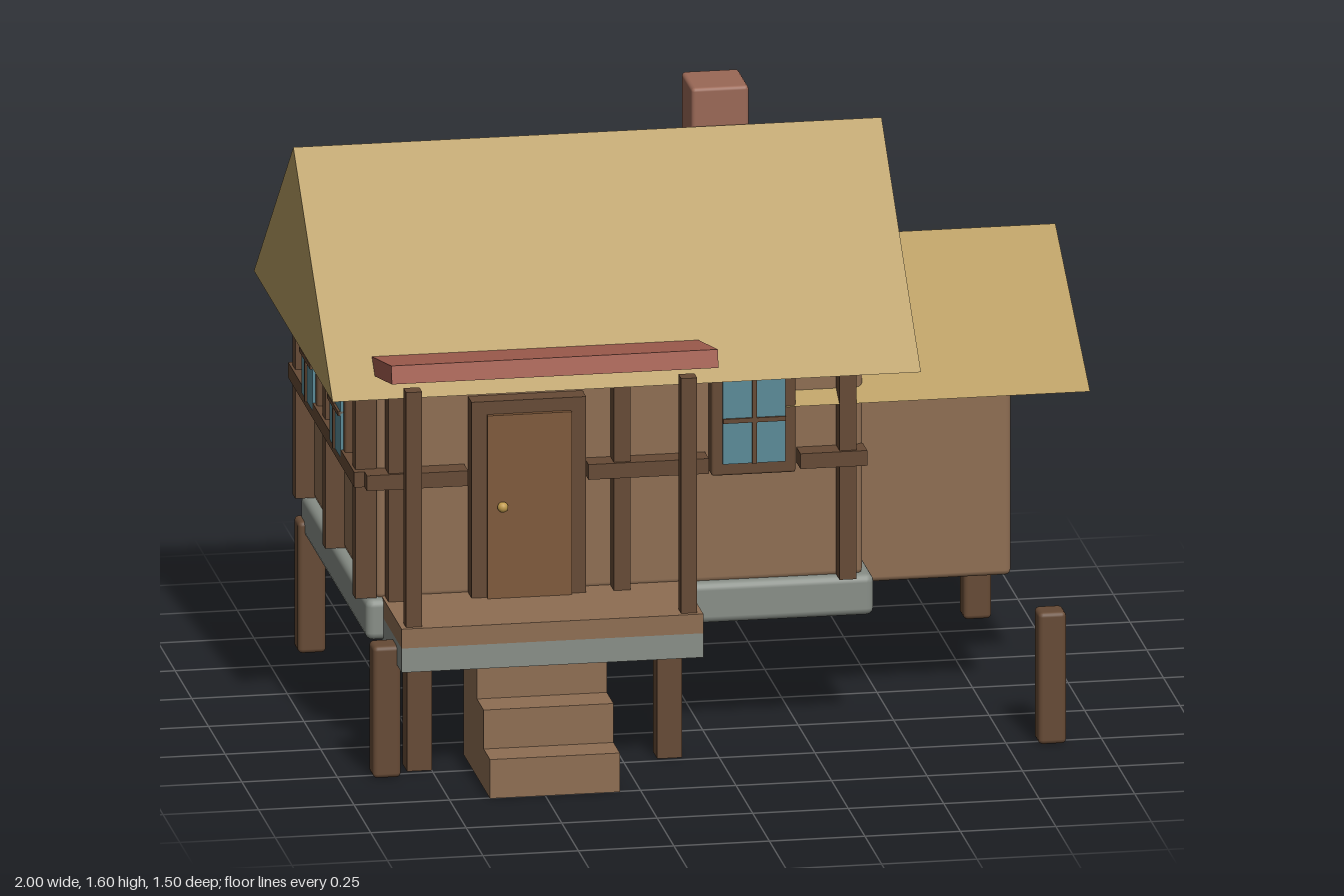
import * as THREE from 'three';
import { RoundedBoxGeometry } from 'three/addons/geometries/RoundedBoxGeometry.js';

const mat = (color) => new THREE.MeshStandardMaterial({ color });
const M = {
  thatch: mat(0xb89d63), wall: mat(0x8e6e53), beam: mat(0x664a35), stone: mat(0x888e87),
  brick: mat(0x9a6856), tile: mat(0xa55f50), glass: mat(0x5b8b98), door: mat(0x7f5a3b), brass: mat(0xc09a4c),
};

export function createModel() {
  const model = new THREE.Group();

  const add = (parent, name, geometry, material) => {
    const mesh = new THREE.Mesh(geometry, material);
    mesh.name = name;
    parent.add(mesh);
    return mesh;
  };
  // Box given by its extents on each axis; r rounds the edges
  const box = (name, material, [x0, x1], [y0, y1], [z0, z1], r = 0, parent = model) => {
    const size = [x1 - x0, y1 - y0, z1 - z0];
    const geo = r ? new RoundedBoxGeometry(...size, 2, r) : new THREE.BoxGeometry(...size);
    const mesh = add(parent, name, geo, material);
    mesh.position.set((x0 + x1) / 2, (y0 + y1) / 2, (z0 + z1) / 2);
    return mesh;
  };
  const around = (c, w) => [c - w / 2, c + w / 2];
  const ridgeZ = -0.16;

  // Solid gabled roof with its ridge along x
  const roof = (name, x0, x1, y0, y1, half) => {
    const gable = new THREE.Shape([
      new THREE.Vector2(-half, y0), new THREE.Vector2(half, y0), new THREE.Vector2(0, y1),
    ]);
    const geo = new THREE.ExtrudeGeometry(gable, { depth: x1 - x0, bevelEnabled: false });
    geo.rotateY(Math.PI / 2);
    add(model, name, geo, M.thatch).position.set(x0, 0, ridgeZ);
  };

  // House body, annex and foundation
  box('foundation', M.stone, [-0.895, 0.435], [0.31, 0.42], [-0.655, 0.335], 0.02);
  box('mainWalls', M.wall, [-0.87, 0.41], [0.41, 0.995], [-0.63, 0.31], 0.02);
  box('annexWalls', M.wall, [0.2, 0.83], [0.335, 0.895], [-0.6, 0.125], 0.015);
  roof('mainRoof', -1, 0.54, 0.99, 1.5, 0.59);
  roof('annexRoof', 0.2, 0.995, 0.893, 1.19, 0.52);
  box('chimney', M.brick, [0.045, 0.195], [1.2, 1.6], [-0.328, -0.17], 0.01);

  // Stilts under the corners
  for (const x of [-0.875, 0.867])
    for (const z of [-0.625, 0.498])
      box('stilt', M.beam, around(x, 0.073), [0, 0.355], around(z, 0.073), 0.012);

  // Porch: deck, legs, posts, tilted canopy and steps
  box('porchBase', M.stone, [-0.85, -0.06], [0.305, 0.37], [0.3, 0.605]);
  box('porchDeck', M.wall, [-0.85, -0.06], [0.37, 0.422], [0.3, 0.605]);
  for (const x of [-0.782, -0.127])
    box('porchLeg', M.beam, around(x, 0.065), [0, 0.31], [0.417, 0.482]);
  for (const x of [-0.815, -0.095])
    box('porchPost', M.beam, around(x, 0.042), [0.42, 1.055], [0.55, 0.592]);
  const canopy = box('porchCanopy', M.tile, [-0.88, -0.025], around(1.073, 0.048), around(0.43, 0.4));
  canopy.rotation.x = -0.21;
  const steps = [[0.66, 0.755, 0.105], [0.56, 0.66, 0.21], [0.36, 0.56, 0.307]];
  for (const [z0, z1, h] of steps)
    box('step', M.wall, [-0.645, -0.305], [0, h], [z0, z1]);

  // Timber framing on the front
  for (const x of [-0.82, -0.23, 0.361])
    box('frontTimber', M.beam, around(x, 0.044), [0.42, 0.992], [0.305, 0.362]);
  for (const span of [[-0.9, -0.635], [-0.32, -0.005], [0.235, 0.41]])
    box('frontRail', M.beam, span, [0.727, 0.768], [0.305, 0.371]);

  // Timber framing on the end wall
  for (const dz of [-0.45, 0, 0.45])
    box('endTimber', M.beam, [-0.92, -0.865], [0.42, 0.992], around(ridgeZ + dz, 0.044));
  box('endRail', M.beam, [-0.927, -0.865], [0.727, 0.768], [-0.655, 0.335]);

  // Window: frame, glass and glazing bars, facing +z from its wall plane
  const addWindow = (x, z, turn) => {
    const win = new THREE.Group();
    win.name = 'window';
    box('windowFrame', M.beam, [-0.11, 0.11], [0.715, 0.992], [0, 0.052], 0.006, win);
    box('glass', M.glass, [-0.082, 0.082], [0.748, 0.98], [0.01, 0.06], 0, win);
    box('glazingBar', M.beam, [-0.006, 0.006], [0.748, 0.98], [0.01, 0.066], 0, win);
    box('glazingBar', M.beam, [-0.082, 0.082], [0.859, 0.871], [0.01, 0.066], 0, win);
    win.position.set(x, 0, z);
    win.rotation.y = turn;
    model.add(win);
  };
  addWindow(0.115, 0.305, 0);
  for (const dz of [-0.21, 0.21]) addWindow(-0.868, ridgeZ + dz, -Math.PI / 2);

  // Door
  box('doorFrame', M.beam, [-0.625, -0.325], [0.42, 0.95], [0.3, 0.365]);
  box('door', M.door, [-0.585, -0.365], [0.422, 0.915], [0.3, 0.378]);
  add(model, 'doorKnob', new THREE.SphereGeometry(0.014, 16, 12), M.brass).position.set(-0.547, 0.67, 0.387);

  return model;
}
